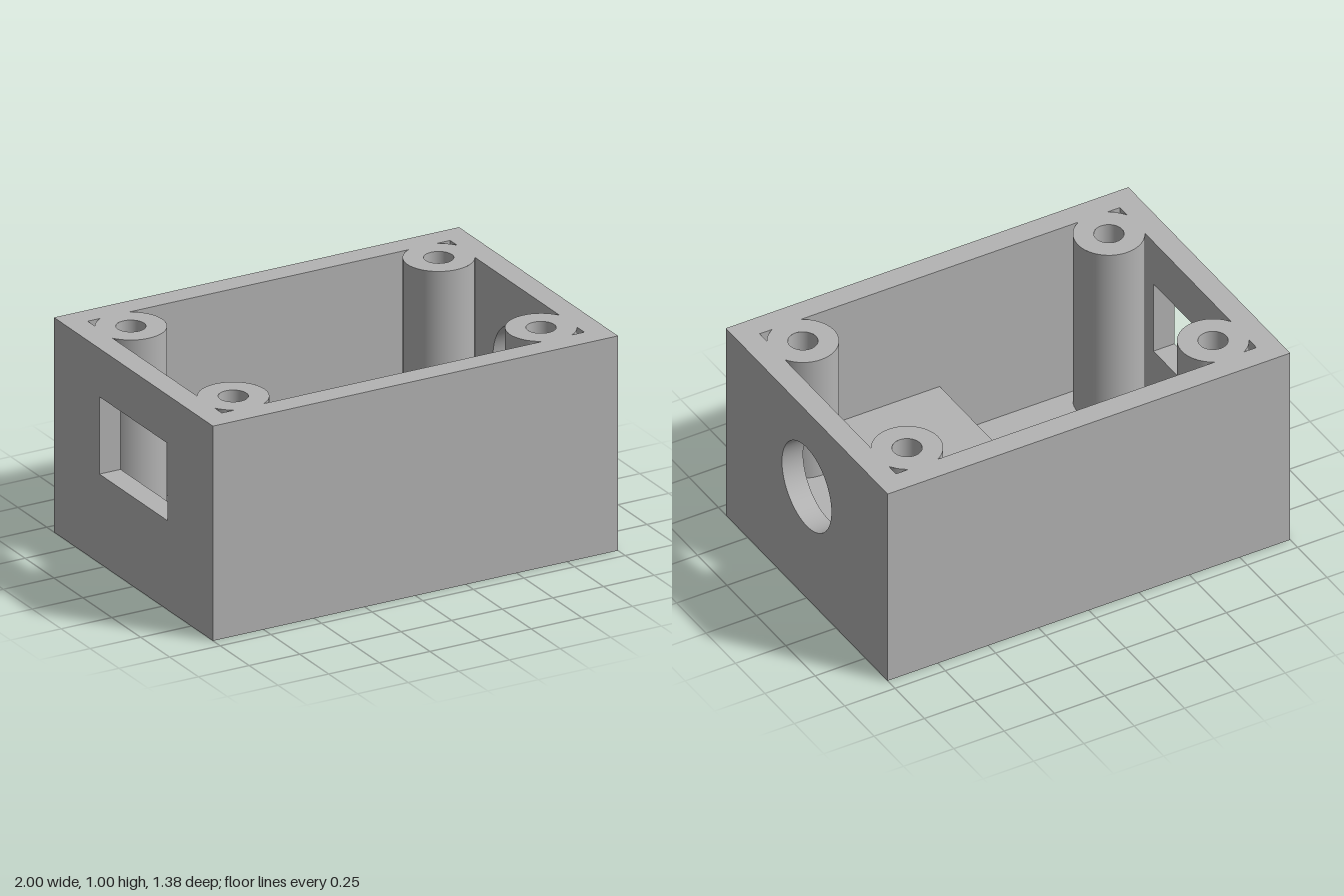
import * as THREE from 'three';

// Overall half sizes, inner half sizes and floor levels
const X = 1, Z = 0.6875, IX = 0.895, IZ = 0.58, LOW = 0.105, HIGH = 0.38;
// Screw posts
const PX = 0.76, PZ = 0.4425, PR = 0.155, HOLE = 0.065;
// Side cutouts and nut pocket
const CY = 0.595, CR = 0.21, WZ = 0.295, WH = 0.18, NUT_X = 0.45, NUT_R = 0.295, NUT_D = 0.27;

const poly = (pts) => new THREE.Shape(pts.map(([a, b]) => new THREE.Vector2(a, b)));
const rect = (x0, y0, x1, y1) => poly([[x0, y0], [x1, y0], [x1, y1], [x0, y1]]);
const disc = (x, y, r) => new THREE.Shape().absarc(x, y, r, 0, Math.PI * 2);

export function createModel() {
  const group = new THREE.Group();
  const grey = new THREE.MeshStandardMaterial({ color: 0xb3b3b3, side: THREE.DoubleSide });
  grey.name = 'grey plastic';

  const add = (name, geometry, x = 0, y = 0, z = 0) => {
    const mesh = new THREE.Mesh(geometry, grey);
    mesh.name = name;
    mesh.position.set(x, y, z);
    group.add(mesh);
  };
  const face = (shape, holes = []) => {
    shape.holes.push(...holes);
    return new THREE.ShapeGeometry(shape, 32);
  };
  const flat = (geometry) => {
    const g = geometry.toNonIndexed();
    g.computeVertexNormals();
    return g;
  };
  const up = -Math.PI / 2, down = Math.PI / 2;

  // Long walls: outer skin, and inner skin following the stepped floor
  for (const s of [1, -1]) {
    const turn = s > 0 ? 0 : Math.PI;
    add('longWallOutside', face(rect(-X, 0, X, 1)).rotateY(turn), 0, 0, s * Z);
    const inner = poly([[-IX * s, s > 0 ? LOW : HIGH], [0, s > 0 ? LOW : HIGH], [0, s > 0 ? HIGH : LOW],
      [IX * s, s > 0 ? HIGH : LOW], [IX * s, 1], [-IX * s, 1]].map(([a, b]) => [s > 0 ? a : -a, b]));
    // the step is the same in x on both walls
    const stepped = s > 0 ? inner : poly([[-IX, LOW], [0, LOW], [0, HIGH], [IX, HIGH], [IX, 1], [-IX, 1]]);
    add('longWallInside', face(stepped), 0, 0, s * IZ);
  }

  // End walls: round cutout on the left (+x), rectangular window on the right (-x)
  for (const s of [1, -1]) {
    const cut = () => [s > 0 ? disc(0, CY, CR) : rect(-WZ, CY - WH, WZ, CY + WH)];
    add('endWallOutside', face(rect(-Z, 0, Z, 1), cut()).rotateY(s * Math.PI / 2), s * X);
    add('endWallInside', face(rect(-IZ, s > 0 ? HIGH : LOW, IZ, 1), cut()).rotateY(-s * Math.PI / 2), s * IX);
  }
  const wall = X - IX, mid = (X + IX) / 2;
  add('roundCutout', new THREE.CylinderGeometry(CR, CR, wall, 64, 1, true).rotateZ(Math.PI / 2), mid, CY);
  const square = new THREE.CylinderGeometry(Math.SQRT1_2, Math.SQRT1_2, wall, 4, 1, true);
  square.rotateY(Math.PI / 4).rotateZ(Math.PI / 2).scale(1, 2 * WH, 2 * WZ);
  add('windowCutout', flat(square), -mid, CY);

  // Underside with a hexagonal nut pocket
  const hex = () => poly(Array.from({ length: 6 }, (_, i) => {
    const a = Math.PI / 2 + i * Math.PI / 3;
    return [NUT_X + NUT_R * Math.cos(a), NUT_R * Math.sin(a)];
  }));
  add('underside', face(rect(-X, -Z, X, Z), [hex()]).rotateX(down));
  add('nutPocketSides', flat(new THREE.CylinderGeometry(NUT_R, NUT_R, NUT_D, 6, 1, true)), NUT_X, NUT_D / 2);
  add('nutPocketCeiling', face(hex()).rotateX(down), 0, NUT_D);

  // Stepped floor
  add('lowFloor', face(rect(-IX, -IZ, 0, IZ)).rotateX(up), 0, LOW);
  add('raisedFloor', face(rect(0, -IZ, IX, IZ)).rotateX(up), 0, HIGH);
  add('floorStep', new THREE.PlaneGeometry(2 * IZ, HIGH - LOW).rotateY(-Math.PI / 2), 0, (HIGH + LOW) / 2);

  // Rim: one face holding the posts' tops, with the cavity, corner gaps and screw holes cut out
  const ex = IX - PX, ez = IZ - PZ;
  const aX = Math.acos(ex / PR), aZ = Math.asin(ez / PR);
  const arc = (from, to, n) => Array.from({ length: n + 1 }, (_, i) => {
    const a = from + (to - from) * i / n;
    return [PX + PR * Math.cos(a), PZ + PR * Math.sin(a)];
  });
  const quarter = arc(-aX, aZ - Math.PI - 2 * aZ + 0, 32);
  const gap = [...arc(aX, aZ, 6), [IX, IZ]];
  const cavity = [], holes = [];
  for (const [sx, sz] of [[1, 1], [-1, 1], [-1, -1], [1, -1]]) {
    const place = ([x, z]) => [sx * x, sz * z];
    const run = quarter.map(place);
    cavity.push(...(sx * sz > 0 ? run : run.reverse()));
    holes.push(poly(gap.map(place)), disc(sx * PX, sz * PZ, HOLE));
  }
  add('rim', face(rect(-X, -Z, X, Z), [poly(cavity), ...holes]).rotateX(up), 0, 1);

  // Screw posts with blind holes
  for (const sx of [1, -1]) for (const sz of [1, -1]) {
    const base = sx > 0 ? HIGH : LOW, h = 1 - base;
    const tube = (r) => new THREE.CylinderGeometry(r, r, h, 48, 1, true);
    add('screwPost', tube(PR), sx * PX, base + h / 2, sz * PZ);
    add('screwHole', tube(HOLE), sx * PX, base + h / 2, sz * PZ);
  }
  return group;
}
